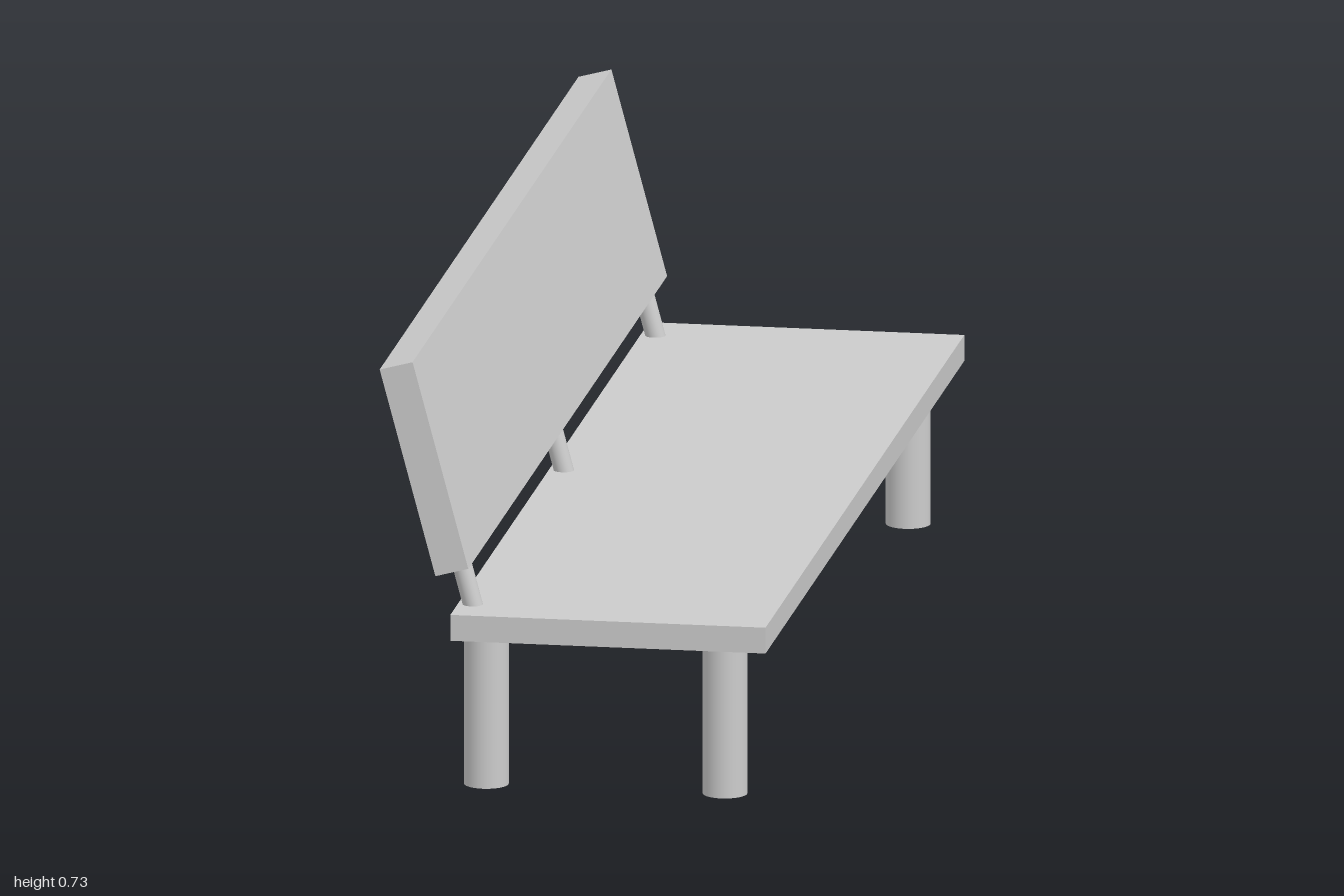
import * as THREE from 'three';

export function createModel() {
  const group = new THREE.Group();
  const material = new THREE.MeshStandardMaterial({ color: 0xcccccc });
  const tilt = THREE.MathUtils.degToRad(15);

  const add = (name, geometry, x, y, z, lean = 0) => {
    const mesh = new THREE.Mesh(geometry, material);
    mesh.name = name;
    mesh.position.set(x, y, z);
    mesh.rotation.z = lean;
    group.add(mesh);
  };

  // Seat plank
  add('seat', new THREE.BoxGeometry(0.527, 0.044, 2), 0.0585, 0.281, 0);

  // Reclined backrest plank
  add('backrest', new THREE.BoxGeometry(0.057, 0.36, 2), -0.249, 0.549, 0, tilt);

  // Four round legs
  const leg = new THREE.CylinderGeometry(0.037, 0.037, 0.26, 32);
  for (const z of [0.926, -0.916]) {
    add('backLeg', leg, -0.157, 0.13, z);
    add('frontLeg', leg, 0.242, 0.13, z);
  }

  // Slanted posts joining the seat to the backrest, ends sunk into both
  const post = new THREE.CylinderGeometry(0.0163, 0.0163, 0.095, 24);
  for (const z of [0.922, 0.006, -0.914]) {
    add('backrestPost', post, -0.19, 0.339, z, tilt);
  }

  return group;
}
